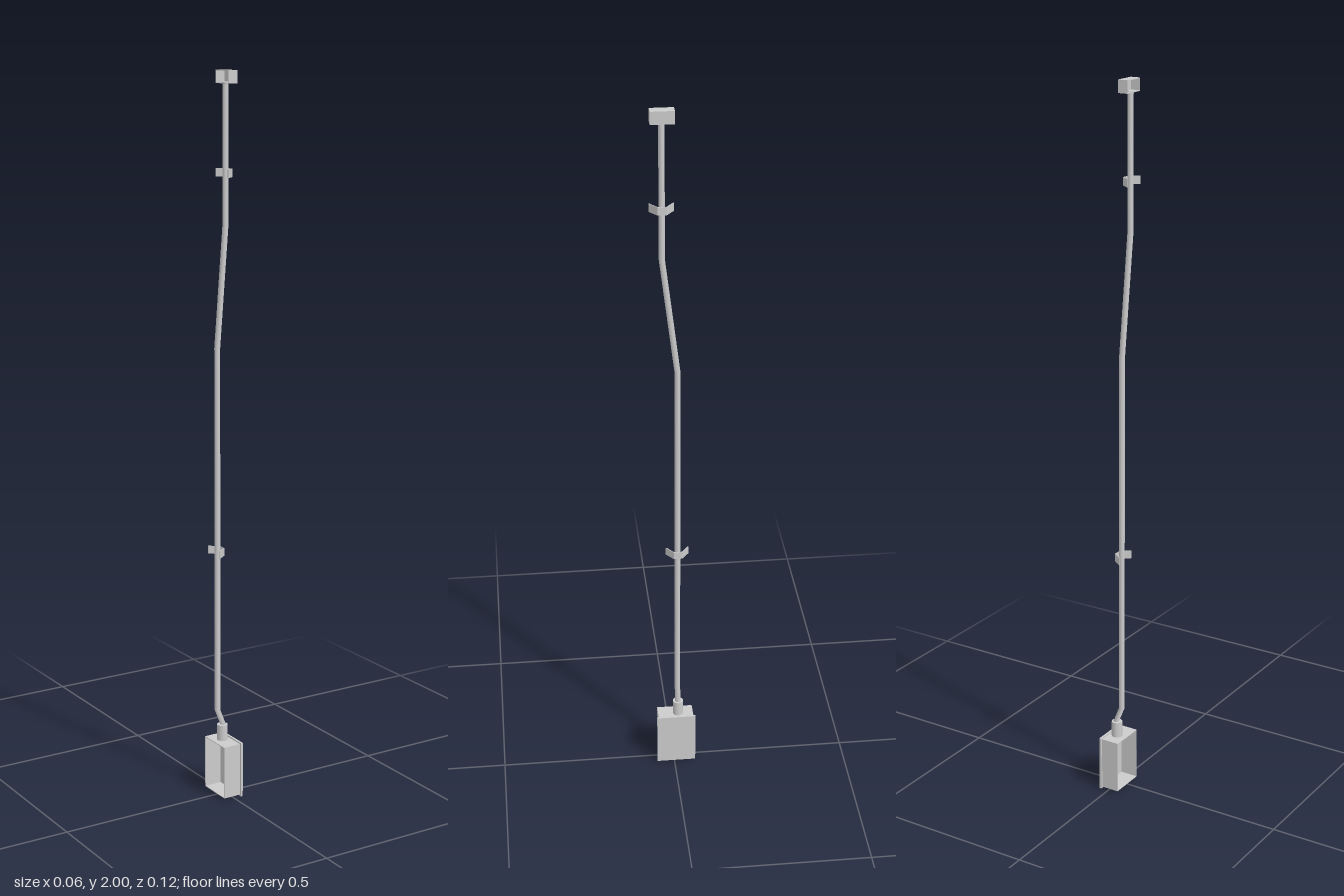
import * as THREE from 'three';

const grey = new THREE.MeshStandardMaterial({ color: 0xcccccc, side: THREE.DoubleSide });

function add(parent, name, geometry, x = 0, y = 0, z = 0) {
  const mesh = new THREE.Mesh(geometry, grey);
  mesh.name = name;
  mesh.position.set(x, y, z);
  parent.add(mesh);
  return mesh;
}

// Thin-walled box, open on its wall side (-x); min and max are corners
function openBox(name, min, max, t = 0.002) {
  const group = new THREE.Group();
  group.name = name;
  const [w, h, d] = max.map((v, i) => v - min[i]);
  const [cx, cy, cz] = max.map((v, i) => (v + min[i]) / 2);
  add(group, 'outerFace', new THREE.BoxGeometry(t, h, d), max[0] - t / 2, cy, cz);
  for (const s of [-1, 1]) {
    add(group, s < 0 ? 'bottomWall' : 'topWall',
      new THREE.BoxGeometry(w, t, d), cx, cy + s * (h - t) / 2, cz);
    add(group, s < 0 ? 'backWall' : 'frontWall',
      new THREE.BoxGeometry(w, h, t), cx, cy, cz + s * (d - t) / 2);
  }
  return group;
}

// Pipe with a ring of vertices at each path point, so the bends stay crisp
function bentPipe(points, radius) {
  const n = points.length - 1;
  const geometry = new THREE.CylinderGeometry(radius, radius, n, 14, n);
  const pos = geometry.attributes.position;
  for (let i = 0; i < pos.count; i++) {
    const [x, y, z] = points[Math.round(pos.getY(i) + n / 2)];
    pos.setXYZ(i, pos.getX(i) + x, y, pos.getZ(i) + z);
  }
  return geometry;
}

// Strap with sloping sides and a flat crown, open toward the wall
function strapGeometry(height) {
  const t = 0.002;
  const outer = [[-0.027, -0.032], [-0.001, -0.012], [-0.001, 0.012], [-0.027, 0.032]];
  const inner = [[-0.027, 0.032 - 1.6 * t], [-0.001 - t, 0.012 - t / 2],
    [-0.001 - t, -0.012 + t / 2], [-0.027, -0.032 + 1.6 * t]];
  const shape = new THREE.Shape([...outer, ...inner].map(([x, z]) => new THREE.Vector2(x, -z)));
  const geometry = new THREE.ExtrudeGeometry(shape, { depth: height, bevelEnabled: false });
  return geometry.rotateX(-Math.PI / 2).translate(0, -height / 2, 0);
}

export function createModel() {
  const model = new THREE.Group();
  model.name = 'wallConduit';

  // Lower box with its overhanging cover plate
  model.add(openBox('junctionBox', [-0.03, 0.004, -0.057], [0.022, 0.155, 0.045]));
  add(model, 'coverPlate', new THREE.BoxGeometry(0.006, 0.159, 0.112), 0.025, 0.0795, -0.006);

  // Collar where the pipe enters the box
  add(model, 'connector', new THREE.CylinderGeometry(0.015, 0.015, 0.047, 20), 0, 0.1765, -0.013);

  // Pipe: offset toward the wall, then a long sideways bend
  add(model, 'pipe', bentPipe([
    [0.002, 0.195, -0.013], [0.002, 0.2, -0.013], [-0.016, 0.245, -0.013],
    [-0.016, 1.27, -0.013], [-0.016, 1.6, 0.028], [-0.016, 1.97, 0.028],
  ], 0.008));

  // Pipe straps
  for (const [name, y, z] of [['lowerStrap', 0.705, -0.013], ['upperStrap', 1.738, 0.028]]) {
    add(model, name, strapGeometry(0.022), 0, y, z);
  }

  // Small box at the upper end
  model.add(openBox('upperBox', [-0.026, 1.966, -0.004], [0.002, 2, 0.058]));

  return model;
}
